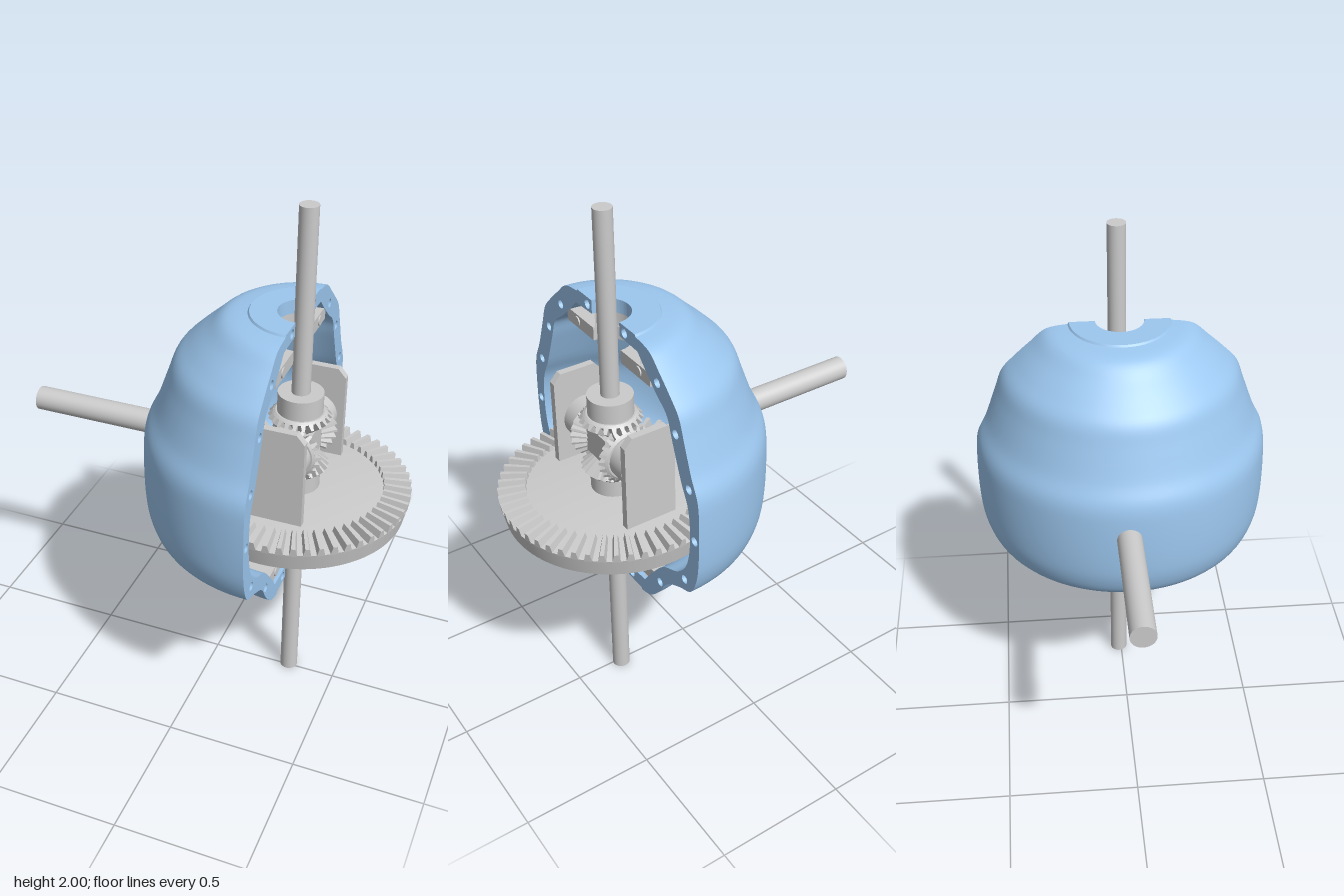
import * as THREE from 'three';
import { toCreasedNormals } from 'three/addons/utils/BufferGeometryUtils.js';

const grey = new THREE.MeshStandardMaterial({ color: 0xcccccc });
const blue = new THREE.MeshStandardMaterial({ color: 0x9dc8f0, side: THREE.DoubleSide });
const AXIS_X = 0.31, AXIS_Z = -0.01;
const V2 = (x, y) => new THREE.Vector2(x, y);

function add(parent, name, geometry, material = grey, x = 0, y = 0, z = 0) {
  const mesh = new THREE.Mesh(geometry, material);
  mesh.name = name;
  mesh.position.set(x, y, z);
  parent.add(mesh);
  return mesh;
}

function lathe(points, segments, start = 0, length = Math.PI * 2, crease = 0.5) {
  return toCreasedNormals(new THREE.LatheGeometry(points, segments, start, length), crease);
}

// Upright cylinder between two heights
function post(parent, name, r, y0, y1, x = 0, z = 0) {
  return add(parent, name, new THREE.CylinderGeometry(r, r, y1 - y0, 40), grey, x, (y0 + y1) / 2, z);
}

// Bevel gear below its cone apex at the origin, teeth pointing up and out.
// R, d: pitch radius and depth of the large end; s: scale of the small end.
function bevelGear(name, { R, d, s, h, teeth, base }) {
  const gear = new THREE.Group();
  gear.name = name;
  const L = Math.hypot(R, d);
  const u = V2(R / L, -d / L), n = V2(d / L, R / L);
  const at = (t, k) => V2((u.x * L + n.x * k) * t, (u.y * L + n.y * k) * t);
  const heel = at(1, -h), toe = at(s, -h);
  const heelBase = V2(heel.x - Math.min(0.015, heel.x * 0.1), base);
  add(gear, 'gearBody', lathe([V2(0, base), heelBase, heel, toe, V2(0, toe.y)], teeth * 2));

  // One tapered tooth, repeated around the axis
  const width = (Math.PI * R / teeth) * 0.62;
  const tooth = new THREE.BoxGeometry(1, 1, 1);
  const p = tooth.attributes.position;
  for (let i = 0; i < p.count; i++) {
    const t = p.getX(i) > 0 ? 1 : s, top = p.getY(i) > 0;
    const q = at(t, top ? h : -h * 1.3);
    p.setXYZ(i, q.x, q.y, Math.sign(p.getZ(i)) * width * t * (top ? 0.5 : 1));
  }
  const flat = tooth.toNonIndexed();
  flat.computeVertexNormals();
  for (let i = 0; i < teeth; i++) {
    add(gear, 'tooth', flat).rotation.y = (i / teeth) * Math.PI * 2;
  }
  return gear;
}

function spline(points, count) {
  return new THREE.SplineCurve(points.map(([x, y]) => V2(x, y))).getPoints(count);
}

// Half shell, cut flat at x = AXIS_X, with bolt holes in the cut rim
function buildHousing() {
  const g = new THREE.Group();
  g.name = 'housing';
  const outer = spline([[0.19, 0.525], [0.25, 0.545], [0.31, 0.605], [0.36, 0.68], [0.44, 0.725],
    [0.51, 0.755], [0.545, 0.83], [0.557, 0.93], [0.557, 1.08], [0.547, 1.17], [0.51, 1.25],
    [0.47, 1.36], [0.44, 1.44], [0.39, 1.495], [0.33, 1.55], [0.27, 1.6], [0.19, 1.615]], 80);
  const inner = spline([[0.2, 1.565], [0.25, 1.515], [0.31, 1.46], [0.37, 1.41], [0.4, 1.33],
    [0.45, 1.2], [0.495, 1.1], [0.505, 0.97], [0.485, 0.86], [0.43, 0.79], [0.34, 0.745],
    [0.27, 0.67], [0.21, 0.59]], 64);
  const outline = [V2(0.09, 0.533), V2(0.185, 0.533), ...outer, V2(0.185, 1.622), V2(0.09, 1.622),
    V2(0.09, 1.57), ...inner, V2(0.09, 0.585)];
  add(g, 'shell', lathe([...outline, outline[0]], 72, Math.PI, Math.PI, 0.6), blue, AXIS_X);

  const holes = [[0.12, 1.594], [0.315, 1.505], [0.42, 1.365], [0.497, 1.19], [0.531, 0.995],
    [0.472, 0.785], [0.315, 0.655], [0.12, 0.558]];
  for (const side of [1, -1]) {
    const rim = new THREE.Shape(outline.map((p) => V2(p.x * side, p.y)));
    for (const [x, y] of holes) {
      rim.holes.push(new THREE.Path().absarc(x * side, y, 0.017, 0, Math.PI * 2));
      const bore = new THREE.CylinderGeometry(0.017, 0.017, 0.04, 20, 1, true).rotateZ(Math.PI / 2);
      add(g, 'boltHole', bore, blue, AXIS_X - 0.02, y, -x * side);
      const end = new THREE.CircleGeometry(0.017, 20).rotateY(Math.PI / 2);
      add(g, 'boltHoleEnd', end, blue, AXIS_X - 0.04, y, -x * side);
    }
    add(g, 'rim', new THREE.ShapeGeometry(rim, 12).rotateY(Math.PI / 2), blue, AXIS_X);
  }
  return g;
}

// Split bearing carrier: bar with a half bore, half ring behind it, two bolts
function buildBearing(name, y, ringY0, ringY1) {
  const g = new THREE.Group();
  g.name = name;
  const bar = new THREE.Shape();
  bar.moveTo(0, -0.27).lineTo(0, -0.09);
  bar.absarc(0, 0, 0.09, -Math.PI / 2, Math.PI / 2, true);
  bar.lineTo(0, 0.27).lineTo(-0.08, 0.27).lineTo(-0.14, 0.12).lineTo(-0.14, -0.12).lineTo(-0.08, -0.27);
  const geo = new THREE.ExtrudeGeometry(bar, { depth: 0.05, bevelEnabled: false, curveSegments: 24 });
  add(g, 'bearingBar', geo.rotateX(-Math.PI / 2), grey, AXIS_X - 0.002, y - 0.025, 0);
  const ring = [V2(0.09, ringY0), V2(0.2, ringY0), V2(0.2, ringY1), V2(0.09, ringY1), V2(0.09, ringY0)];
  add(g, 'bearingRing', lathe(ring, 40, Math.PI, Math.PI), grey, AXIS_X - 0.01);
  for (const z of [0.2, -0.2]) {
    const bolt = new THREE.CylinderGeometry(0.019, 0.019, 0.1, 20).rotateZ(Math.PI / 2);
    add(g, 'bearingBolt', bolt, grey, AXIS_X - 0.047, y, z);
  }
  return g;
}

// Four meshing bevel gears around a cross block
function buildSpider() {
  const g = new THREE.Group();
  g.name = 'spiderGears';
  g.position.set(AXIS_X, 1.105, AXIS_Z);
  const turns = [['lowerSideGear', 0], ['upperSideGear', Math.PI],
    ['leftSpiderGear', -Math.PI / 2], ['rightSpiderGear', Math.PI / 2]];
  turns.forEach(([name, angle], i) => {
    const gear = bevelGear(name, { R: 0.107, d: 0.107, s: 0.58, h: 0.011, teeth: 22, base: -0.122 });
    post(gear, 'gearHub', 0.083, -0.197, -0.11);
    if (i > 1) post(gear, 'gearPin', 0.04, -0.235, -0.19);
    gear.rotation.x = angle;
    g.add(gear);
  });
  add(g, 'crossBlock', new THREE.BoxGeometry(0.13, 0.11, 0.13));
  return g;
}

export function createModel() {
  const model = new THREE.Group();
  model.name = 'differential';
  model.add(buildHousing());
  model.add(buildBearing('upperBearing', 1.49, 1.515, 1.57));
  model.add(buildBearing('lowerBearing', 0.645, 0.585, 0.62));

  // Axle shafts
  post(model, 'upperAxle', 0.034, 1.15, 2, AXIS_X, AXIS_Z);
  post(model, 'lowerAxle', 0.034, 0, 1.06, AXIS_X, AXIS_Z);

  // Ring gear with its hub
  const ring = bevelGear('ringGear', { R: 0.42, d: 0.055, s: 0.76, h: 0.015, teeth: 54, base: -0.14 });
  ring.position.set(AXIS_X, 0.965, AXIS_Z);
  model.add(ring);
  post(model, 'ringGearHub', 0.2, 0.71, 0.83, AXIS_X, AXIS_Z);

  // Input shaft and its pinion
  const pinion = bevelGear('inputPinion', { R: 0.115, d: 0.42, s: 0.76, h: 0.013, teeth: 16, base: -0.435 });
  pinion.position.set(AXIS_X, 1.04, AXIS_Z);
  pinion.rotation.z = -Math.PI / 2;
  model.add(pinion);
  const shaft = new THREE.CylinderGeometry(0.046, 0.046, 0.65, 40).rotateZ(Math.PI / 2);
  add(model, 'inputShaft', shaft, grey, -0.425, 1.04, AXIS_Z);

  // Upright plates that carry the spider gears on the ring gear
  const plate = new THREE.Shape([V2(-0.1, 0.91), V2(0.1, 0.91), V2(0.1, 1.25), V2(0.07, 1.285),
    V2(-0.07, 1.285), V2(-0.1, 1.25)]);
  const plateGeo = new THREE.ExtrudeGeometry(plate, { depth: 0.028, bevelEnabled: false });
  for (const side of [1, -1]) {
    add(model, 'carrierPlate', plateGeo, grey, AXIS_X, 0, AXIS_Z + side * 0.242 - 0.014);
  }

  model.add(buildSpider());
  return model;
}
